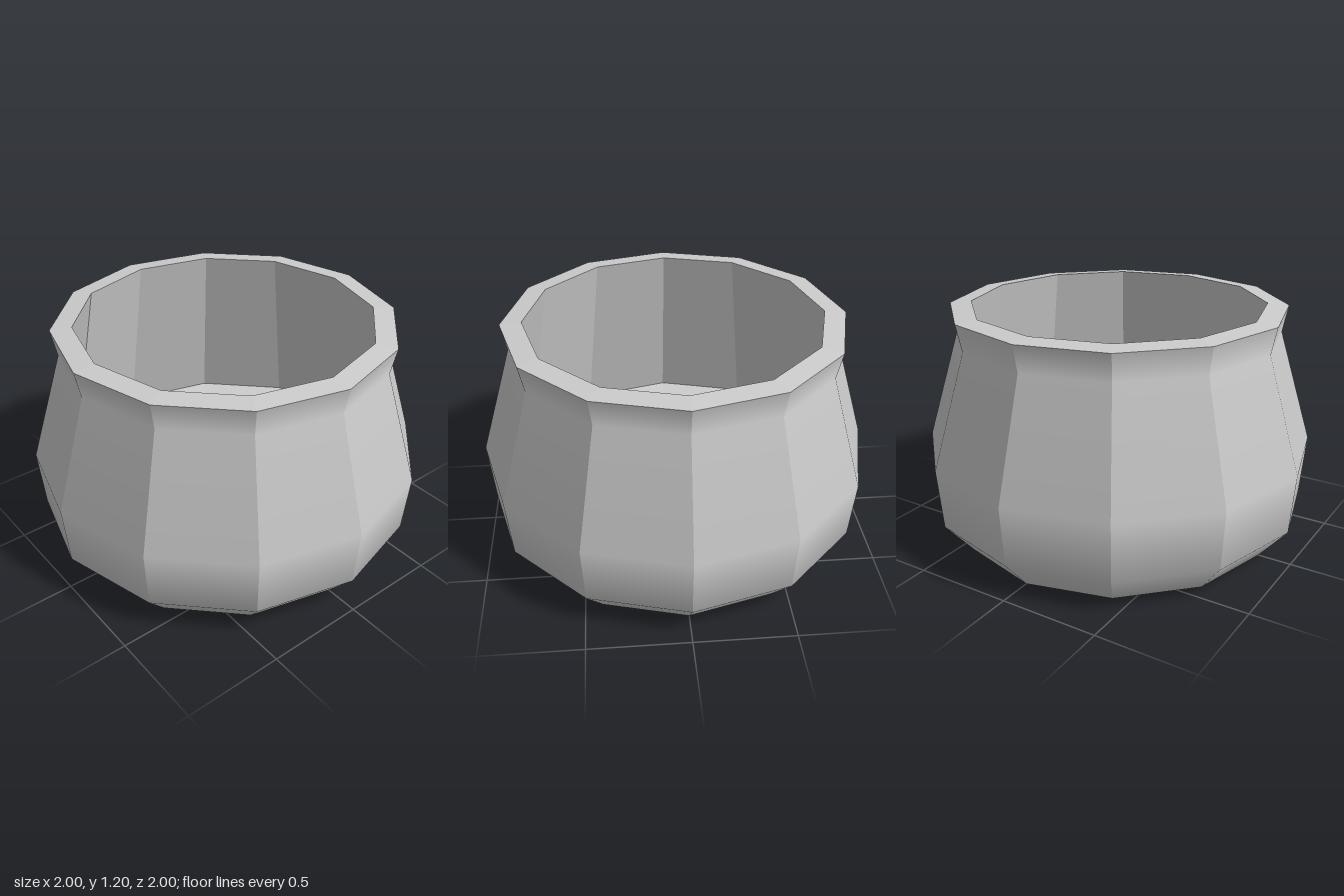
import * as THREE from 'three';
import { mergeGeometries } from 'three/addons/utils/BufferGeometryUtils.js';

const SIDES = 12;
const STEP = (Math.PI * 2) / SIDES;

// Twelve flat-sided strips: smooth along the profile, faceted around the axis
function facetedLathe(profile) {
  const points = profile.map(([r, y]) => new THREE.Vector2(r, y));
  const strips = [];
  for (let s = 0; s < SIDES; s++) {
    const start = s * STEP;
    const mid = start + STEP / 2;
    const strip = new THREE.LatheGeometry(points, 1, start, STEP);
    const n = strip.attributes.normal;
    for (let i = 0; i < n.count; i++) {
      const phi = i < points.length ? start : start + STEP;
      const radial = n.getX(i) * Math.sin(phi) + n.getZ(i) * Math.cos(phi);
      n.setXYZ(i, radial * Math.sin(mid), n.getY(i), radial * Math.cos(mid));
    }
    strips.push(strip);
  }
  return mergeGeometries(strips);
}

export function createModel() {
  const group = new THREE.Group();
  group.name = 'pot';
  const material = new THREE.MeshStandardMaterial({ color: 0xcccccc });

  // Profiles as [radius, height]; each part meets the next at a sharp edge
  const parts = {
    base: [[0, 0], [0.83, 0]],
    outerWall: [[0.83, 0], [0.975, 0.17], [1, 0.475], [0.825, 1.05], [0.853, 1.187]],
    rim: [[0.853, 1.187], [0.745, 1.197]],
    innerWall: [[0.745, 1.197], [0.92, 0.28]],
    innerFloor: [[0.92, 0.28], [0.5, 0.24], [0, 0.24]],
  };

  for (const [name, profile] of Object.entries(parts)) {
    const mesh = new THREE.Mesh(facetedLathe(profile), material);
    mesh.name = name;
    group.add(mesh);
  }
  return group;
}
